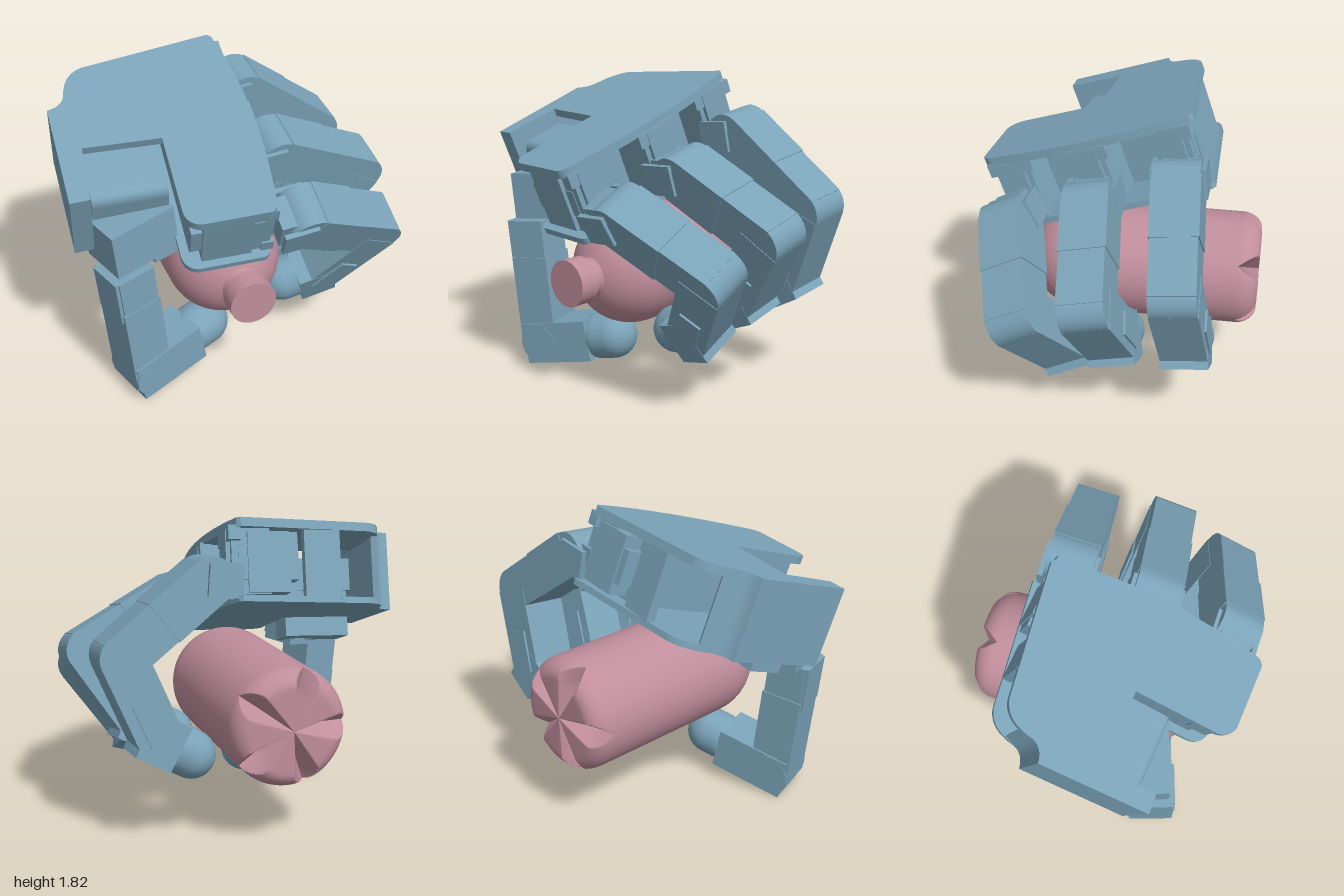
import * as THREE from 'three';
import { toCreasedNormals } from 'three/addons/utils/BufferGeometryUtils.js';

const blue = new THREE.MeshStandardMaterial({ color: 0x7ba3b8 });
const pink = new THREE.MeshStandardMaterial({ color: 0xc08e9c });
const rad = THREE.MathUtils.degToRad;
const v2 = (x, y) => new THREE.Vector2(x, y);

function add(parent, name, geometry, material = blue) {
  const mesh = new THREE.Mesh(geometry, material);
  mesh.name = name;
  parent.add(mesh);
  return mesh;
}

// Box given by its limits on each axis
function box(parent, name, [x0, x1], [y0, y1], [z0, z1]) {
  const mesh = add(parent, name, new THREE.BoxGeometry(x1 - x0, y1 - y0, z1 - z0));
  mesh.position.set((x0 + x1) / 2, (y0 + y1) / 2, (z0 + z1) / 2);
}

// Box running from a to b in the xy plane, lengthened by e0 and e1
function link(parent, name, a, b, half, width, e0 = 0, e1 = 0, z = 0) {
  const dir = b.clone().sub(a), length = dir.length();
  const mesh = add(parent, name, new THREE.BoxGeometry(length + e0 + e1, half * 2, width));
  const mid = a.clone().addScaledVector(dir.normalize(), (length + e1 - e0) / 2);
  mesh.position.set(mid.x, mid.y, z);
  mesh.rotation.z = dir.angle();
}

// Hinge drum with its axis along z
function hinge(parent, name, p, r, width) {
  const mesh = add(parent, name, new THREE.CylinderGeometry(r, r, width, 32).rotateX(Math.PI / 2));
  mesh.position.set(p.x, p.y, 0);
}

// Round pad ending in a sphere centred on b, pointing away from a
function fingertip(parent, a, b, r) {
  const dir = b.clone().sub(a).normalize();
  const mesh = add(parent, 'fingertip', new THREE.CapsuleGeometry(r, 0.08, 12, 32).rotateZ(Math.PI / 2));
  mesh.position.set(b.x - dir.x * 0.04, b.y - dir.y * 0.04, 0);
  mesh.rotation.z = dir.angle();
}

// Finger in its own plane; points are knuckle, middle joint, end joint, tip
function finger(name, z, tilt, points) {
  const group = new THREE.Group();
  group.name = name;
  const y0 = points[0][1];
  group.position.set(0, y0, z);
  group.rotation.x = rad(tilt);
  const [k0, k1, k2, tip] = points.map(([x, y]) => v2(x, (y - y0) / Math.cos(rad(tilt))));
  const root = v2(0.1, -0.02);
  for (const s of [-1, 1]) {
    link(group, 'knuckleCheek', root, k0, 0.09, 0.03, 0, 0.03, s * 0.142);
    link(group, 'jointCheek', k1.clone().lerp(k2, 0.5), k2, 0.07, 0.02, 0, 0, s * 0.138);
  }
  link(group, 'knuckleBlock', root, k0, 0.1, 0.2);
  hinge(group, 'knuckleHinge', k0, 0.13, 0.265);
  const split = k0.clone().lerp(k1, 0.55);
  link(group, 'proximalLink', k0, split, 0.135, 0.275);
  link(group, 'proximalSleeve', split, k1, 0.13, 0.262, 0, 0.03);
  hinge(group, 'middleHinge', k1, 0.13, 0.262);
  link(group, 'middleLink', k1, k2, 0.13, 0.27, 0, 0.02);
  const along = tip.clone().sub(k2).setLength(0.12);
  link(group, 'endLink', k2, k2.clone().add(along), 0.135, 0.275, 0.1);
  fingertip(group, k2, tip, 0.14);
  return group;
}

function thumb() {
  const group = new THREE.Group();
  group.name = 'thumb';
  group.position.set(-0.64, 0.15, 0.39);
  group.rotation.set(0, rad(17), rad(6), 'YXZ');
  const elbow = v2(0, 0), tip = v2(0.475, 0.045);
  link(group, 'upperLink', v2(0, 0.78), v2(0, 0.55), 0.115, 0.24);
  link(group, 'lowerLink', v2(0, 0.55), elbow, 0.123, 0.255, 0, 0.05);
  hinge(group, 'elbowHinge', elbow, 0.123, 0.28);
  link(group, 'endLink', elbow, v2(0.36, 0.035), 0.128, 0.275, 0.1);
  fingertip(group, elbow, tip, 0.145);
  box(group, 'rearCheek', [-0.135, -0.1], [0.5, 0.78], [-0.11, 0.11]);
  // Housing that carries the thumb below the palm
  box(group, 'baseHousing', [-0.09, 0.32], [0.79, 1.07], [-0.22, 0.08]);
  box(group, 'baseFoot', [0.16, 0.32], [0.75, 0.79], [-0.18, 0.07]);
  return group;
}

// Plate from the palm outline, lying between heights y0 and y1
function plate(parent, name, y0, y1) {
  const s = new THREE.Shape();
  s.moveTo(0.07, -0.875);
  s.lineTo(-0.3, -0.878);
  s.quadraticCurveTo(-0.375, -0.86, -0.38, -0.78);
  s.lineTo(-0.383, -0.278);
  s.lineTo(-0.818, -0.263);
  s.lineTo(-0.83, -0.607);
  s.lineTo(-0.941, -0.612);
  s.lineTo(-0.962, 0.037);
  s.quadraticCurveTo(-0.88, 0.05, -0.86, 0.12);
  s.quadraticCurveTo(-0.84, 0.28, -0.73, 0.315);
  s.lineTo(0.033, 0.432);
  s.lineTo(0.055, 0.414);
  s.quadraticCurveTo(0.2, -0.1, 0.12, -0.817);
  s.quadraticCurveTo(0.11, -0.87, 0.07, -0.875);
  const g = new THREE.ExtrudeGeometry(s, { depth: y1 - y0, bevelEnabled: false, curveSegments: 10 });
  add(parent, name, g.rotateX(-Math.PI / 2).translate(0, y0, 0));
}

function palm() {
  const group = new THREE.Group();
  group.name = 'palm';
  const x = new THREE.Vector3(0.99, 0.039, 0.13).normalize();
  const z = x.clone().cross(new THREE.Vector3(-0.08, 0.938, 0.334)).normalize();
  const y = z.clone().cross(x);
  group.quaternion.setFromRotationMatrix(new THREE.Matrix4().makeBasis(x, y, z));
  group.position.set(0, 1.68, 0);
  plate(group, 'topPlate', -0.05, 0);
  plate(group, 'bottomPlate', -0.465, -0.43);
  const inner = [-0.44, -0.04];

  // Outer wall ending at the start of the rounded rear corner
  const wall = new THREE.Shape();
  wall.moveTo(-0.83, -0.607);
  wall.lineTo(-0.941, -0.612);
  wall.lineTo(-0.962, 0.037);
  wall.quadraticCurveTo(-0.88, 0.05, -0.86, 0.12);
  wall.lineTo(-0.84, 0.19);
  wall.lineTo(-0.81, 0.17);
  wall.lineTo(-0.83, 0);
  const wallGeometry = new THREE.ExtrudeGeometry(wall, { depth: 0.42, bevelEnabled: false });
  add(group, 'sideWall', wallGeometry.rotateX(-Math.PI / 2).translate(0, -0.445, 0));

  // Core, ribs and the servo bodies held between the plates
  box(group, 'core', [-0.33, -0.13], inner, [-0.28, 0.76]);
  box(group, 'rearRib', [-0.56, -0.35], inner, [-0.345, -0.29]);
  box(group, 'frontServo', [-0.28, 0], [-0.41, -0.07], [0.7, 0.845]);
  box(group, 'frontServoFlange', [-0.34, 0.07], [-0.32, -0.16], [0.7, 0.825]);
  box(group, 'rearServo', [-0.25, -0.01], [-0.41, -0.07], [-0.395, -0.25]);
  box(group, 'rearServoFlange', [-0.3, 0.04], [-0.34, -0.14], [-0.385, -0.25]);

  // Thumb servo with a rounded upper front edge
  const servo = new THREE.Shape();
  servo.moveTo(-0.26, -0.3);
  servo.lineTo(-0.55, -0.3);
  servo.lineTo(-0.55, -0.17);
  servo.quadraticCurveTo(-0.55, -0.1, -0.48, -0.1);
  servo.lineTo(-0.26, -0.1);
  const servoGeometry = new THREE.ExtrudeGeometry(servo, { depth: 0.42, bevelEnabled: false });
  add(group, 'thumbServo', servoGeometry.rotateY(Math.PI / 2).translate(-0.82, 0, 0));
  box(group, 'thumbServoFoot', [-0.8, -0.4], [-0.58, -0.3], [0.28, 0.5]);

  // Stepped mounts behind each knuckle
  [0.71, 0.22, -0.27].forEach((w, i) => {
    const u = [0.11, 0.14, 0.08][i];
    box(group, 'fingerServo', [-0.14, u], [-0.42, -0.05], [w - 0.11, w + 0.11]);
    box(group, 'mountStepWide', [u - 0.05, u + 0.02], [-0.12, -0.04], [w - 0.14, w + 0.14]);
    box(group, 'mountStepNarrow', [u - 0.05, u + 0.025], [-0.36, -0.05], [w - 0.08, w + 0.08]);
    box(group, 'mountStepLower', [u - 0.05, u + 0.02], [-0.43, -0.36], [w - 0.12, w + 0.12]);
  });
  return group;
}

function bottle() {
  const end = -0.835, profile = [];
  // Flat base, then its rounded rim
  for (let i = 0; i < 8; i++) profile.push([0.03 * i, end]);
  for (let i = 0; i <= 16; i++) {
    const a = (i / 16) * Math.PI / 2;
    profile.push([0.24 + 0.1 * Math.sin(a), end + 0.125 * (1 - Math.cos(a))]);
  }
  // Domed shoulder
  for (let i = 0; i <= 10; i++) {
    const a = (i / 10) * 1.22;
    profile.push([0.34 * Math.cos(a), 0.23 + 0.34 * Math.sin(a)]);
  }
  // Neck and cap
  profile.push([0.105, 0.57], [0.105, 0.61], [0.137, 0.61], [0.137, 0.73], [0, 0.73]);
  const g = new THREE.LatheGeometry(profile.map(([r, h]) => v2(r, h)), 160);
  g.rotateX(Math.PI / 2);
  // Press five wedge-shaped grooves into the base
  const p = g.attributes.position, step = Math.PI * 0.4;
  for (let i = 0; i < p.count; i++) {
    if (p.getZ(i) > -0.7) continue;
    const r = Math.hypot(p.getX(i), p.getY(i));
    const turn = (Math.atan2(p.getY(i), p.getX(i)) + Math.PI * 2) % step;
    const groove = Math.max(0, 1 - Math.abs(turn - step / 2) / 0.28) * Math.min(1, r / 0.2);
    p.setZ(i, Math.max(p.getZ(i), end + 0.125 * groove));
  }
  const mesh = new THREE.Mesh(toCreasedNormals(g, rad(30)), pink);
  mesh.name = 'bottle';
  mesh.position.set(-0.07, 0.71, 0);
  return mesh;
}

export function createModel() {
  const model = new THREE.Group();
  model.name = 'robotHandWithBottle';
  model.add(
    palm(),
    thumb(),
    finger('frontFinger', 0.61, 27, [[0.27, 1.15], [0.8, 0.87], [0.52, 0.47], [0.33, 0.415]]),
    finger('middleFinger', 0.13, 13, [[0.29, 1.32], [0.87, 1.035], [0.6, 0.61], [0.4, 0.52]]),
    finger('rearFinger', -0.357, 6.5, [[0.27, 1.49], [0.79, 1.105], [0.6, 0.635], [0.4, 0.52]]),
    bottle(),
  );
  return model;
}
